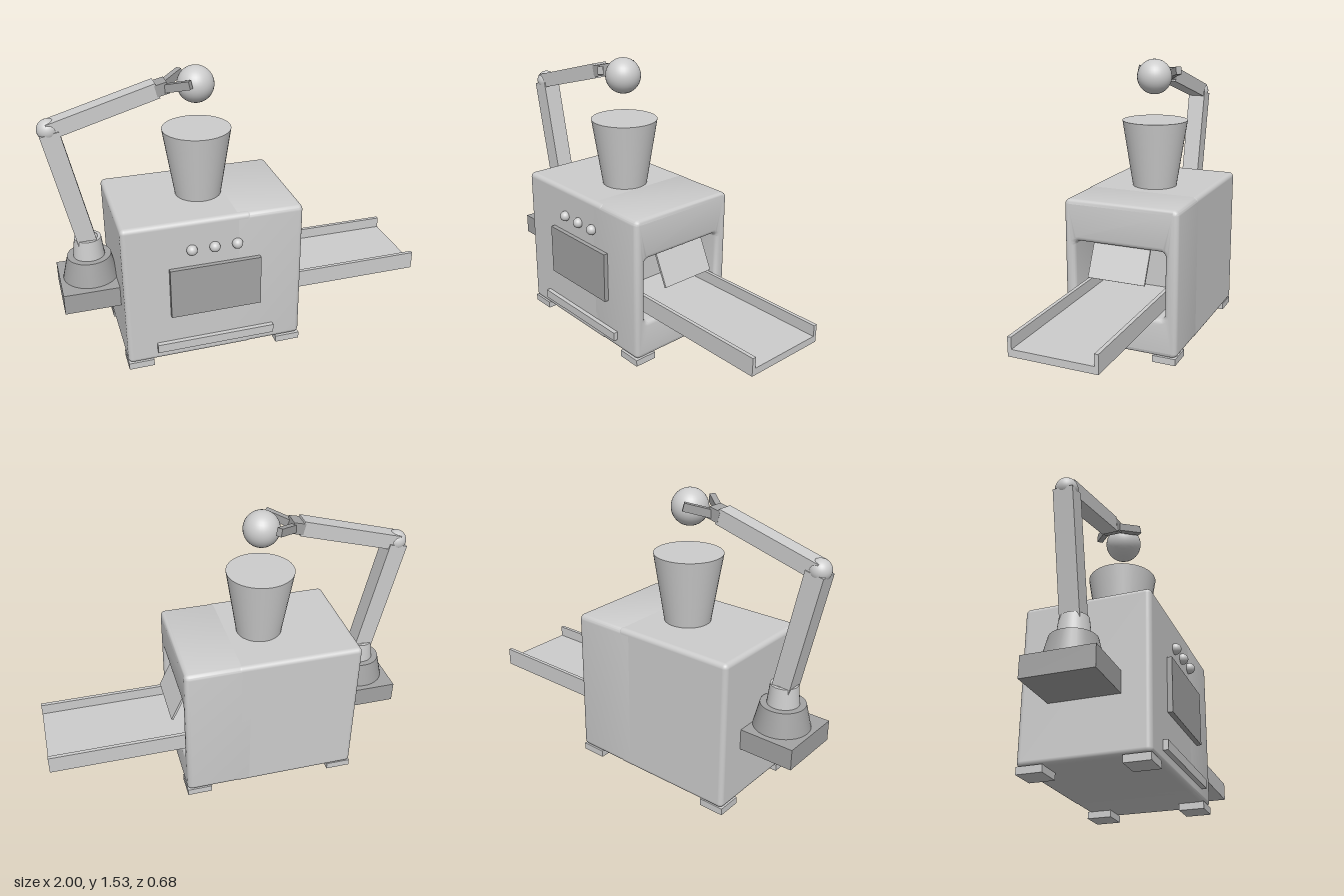
import * as THREE from 'three';
import { toCreasedNormals } from 'three/addons/utils/BufferGeometryUtils.js';
import { RoundedBoxGeometry } from 'three/addons/geometries/RoundedBoxGeometry.js';

const light = new THREE.MeshStandardMaterial({ color: 0xcccccc });
light.name = 'light grey';
const dark = new THREE.MeshStandardMaterial({ color: 0xa3a3a3 });
dark.name = 'dark grey';

export function createModel() {
  const model = new THREE.Group();
  model.name = 'cookingMachine';
  const CX = -0.205, CZ = -0.02;

  const add = (name, geometry, material, x = 0, y = 0, z = 0) => {
    const mesh = new THREE.Mesh(geometry, material);
    mesh.name = name;
    mesh.position.set(x, y, z);
    model.add(mesh);
    return mesh;
  };
  // Box given by its min and max corners
  const box = (name, mat, [x0, y0, z0], [x1, y1, z1]) =>
    add(name, new THREE.BoxGeometry(x1 - x0, y1 - y0, z1 - z0), mat,
      (x0 + x1) / 2, (y0 + y1) / 2, (z0 + z1) / 2);
  // Bar between two points; thick is measured upright, wide sideways
  const bar = (name, mat, from, to, thick, wide) => {
    const a = new THREE.Vector3(...from), b = new THREE.Vector3(...to);
    const mid = a.clone().add(b).multiplyScalar(0.5);
    const mesh = add(name, new THREE.BoxGeometry(wide, thick, a.distanceTo(b)), mat, mid.x, mid.y, mid.z);
    mesh.lookAt(b);
    return mesh;
  };
  const ball = (name, mat, r, x, y, z) =>
    add(name, new THREE.SphereGeometry(r, 32, 20), mat, x, y, z);
  const drum = (name, mat, rTop, rBottom, y0, y1, x) =>
    add(name, new THREE.CylinderGeometry(rTop, rBottom, y1 - y0, 36), mat, x, (y0 + y1) / 2, CZ);
  const roundRect = (path, x0, y0, x1, y1, r) => {
    path.absarc(x1 - r, y0 + r, r, -Math.PI / 2, 0);
    path.absarc(x1 - r, y1 - r, r, 0, Math.PI / 2);
    path.absarc(x0 + r, y1 - r, r, Math.PI / 2, Math.PI);
    path.absarc(x0 + r, y0 + r, r, Math.PI, Math.PI * 1.5);
    path.closePath();
    return path;
  };

  // Housing: closed rear block plus a hollow section with the outlet
  add('housingBlock', new RoundedBoxGeometry(0.68, 0.8, 0.64, 4, 0.025), light, -0.34, 0.435, CZ);
  const side = roundRect(new THREE.Shape(), -0.3, 0.035, 0.34, 0.835, 0.03);
  side.holes.push(roundRect(new THREE.Path(), -0.24, 0.245, 0.27, 0.61, 0.025));
  const bevel = 0.025;
  const outlet = new THREE.ExtrudeGeometry(side, {
    depth: 0.375 - 2 * bevel, bevelThickness: bevel, bevelSize: bevel,
    bevelOffset: -bevel, bevelSegments: 4, curveSegments: 5,
  });
  outlet.rotateY(Math.PI / 2);
  add('housingOutlet', toCreasedNormals(outlet, 0.6), light, -0.1 + bevel, 0, 0);

  // Feet
  for (const x of [-0.68, 0.14]) {
    for (const z of [-0.335, 0.17]) {
      box('foot', light, [x, 0, z], [x + 0.135, 0.037, z + 0.13]);
    }
  }

  // Front panel, lower strip and knobs
  box('window', dark, [-0.445, 0.3, 0.28], [0.04, 0.58, 0.325]);
  box('lowerStrip', light, [-0.525, 0.092, 0.28], [0.115, 0.14, 0.325]);
  for (const dx of [-0.12, 0, 0.12]) ball('knob', light, 0.028, CX + dx, 0.677, 0.309);

  // Hopper and the ball held above it
  drum('hopper', light, 0.18, 0.12, 0.82, 1.2, CX);
  ball('heldBall', light, 0.095, CX, 1.435, -0.015);

  // Output tray and hanging flap
  box('trayFloor', light, [-0.1, 0.277, -0.25], [0.997, 0.315, 0.21]);
  box('trayWall', light, [-0.1, 0.277, 0.19], [0.997, 0.375, 0.21]);
  box('trayWall', light, [-0.1, 0.277, -0.25], [0.997, 0.375, -0.23]);
  bar('flap', light, [0.235, 0.612, CZ], [0.318, 0.435, CZ], 0.012, 0.32);

  // Arm mount
  box('armMount', dark, [-0.97, 0.32, -0.195], [-0.66, 0.43, 0.16]);
  drum('armPedestal', dark, 0.115, 0.145, 0.43, 0.555, -0.805);
  drum('armCollar', light, 0.07, 0.082, 0.555, 0.66, -0.805);
  ball('shoulder', light, 0.066, -0.805, 0.62, CZ);

  // Arm links
  bar('upperArm', light, [-0.805, 0.62, CZ], [-0.943, 1.265, CZ], 0.098, 0.1);
  ball('elbow', light, 0.055, -0.945, 1.275, CZ);
  bar('forearm', light, [-0.945, 1.275, CZ], [-0.405, 1.43, CZ], 0.08, 0.088);

  // Gripper
  bar('wrist', dark, [-0.415, 1.427, CZ], [-0.352, 1.442, CZ], 0.06, 0.09);
  for (const s of [-1, 1]) {
    bar('finger', dark, [-0.365, 1.435, CZ + s * 0.03], [-0.257, 1.468, CZ + s * 0.115], 0.042, 0.03);
  }
  return model;
}
